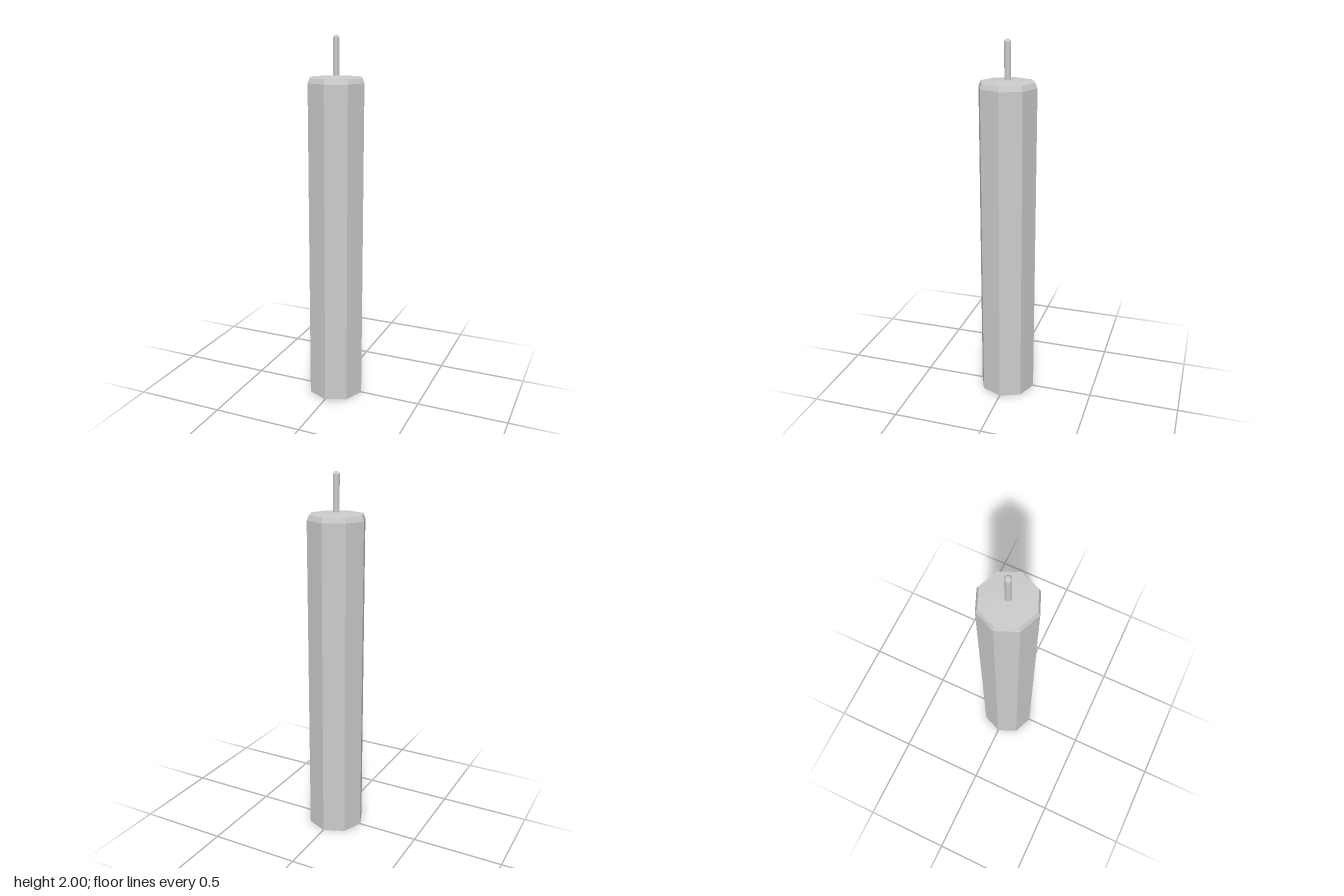
import * as THREE from 'three';

const SIDES = 8;

// Eight-sided turned part; the profile runs from bottom to top as [radius, height]
function turned(name, profile, flatShading) {
  const points = profile.map(([r, y]) => new THREE.Vector2(r, y));
  const material = new THREE.MeshStandardMaterial({ color: 0xcccccc, flatShading });
  const mesh = new THREE.Mesh(new THREE.LatheGeometry(points, SIDES), material);
  mesh.name = name;
  return mesh;
}

export function createModel() {
  const group = new THREE.Group();
  group.name = 'candle';

  // Wax column with a closed base and a bevelled upper rim
  group.add(turned('waxBody', [[0, 0], [0.158, 0], [0.158, 1.76], [0.147, 1.787]], true));

  // Very shallow, softly shaded dome on top
  group.add(turned('waxTop', [[0.147, 1.787], [0, 1.797]], false));

  // Wick with a bevelled tip
  group.add(turned('wick', [[0.018, 1.785], [0.018, 1.988], [0.009, 2], [0, 2]], true));

  return group;
}
